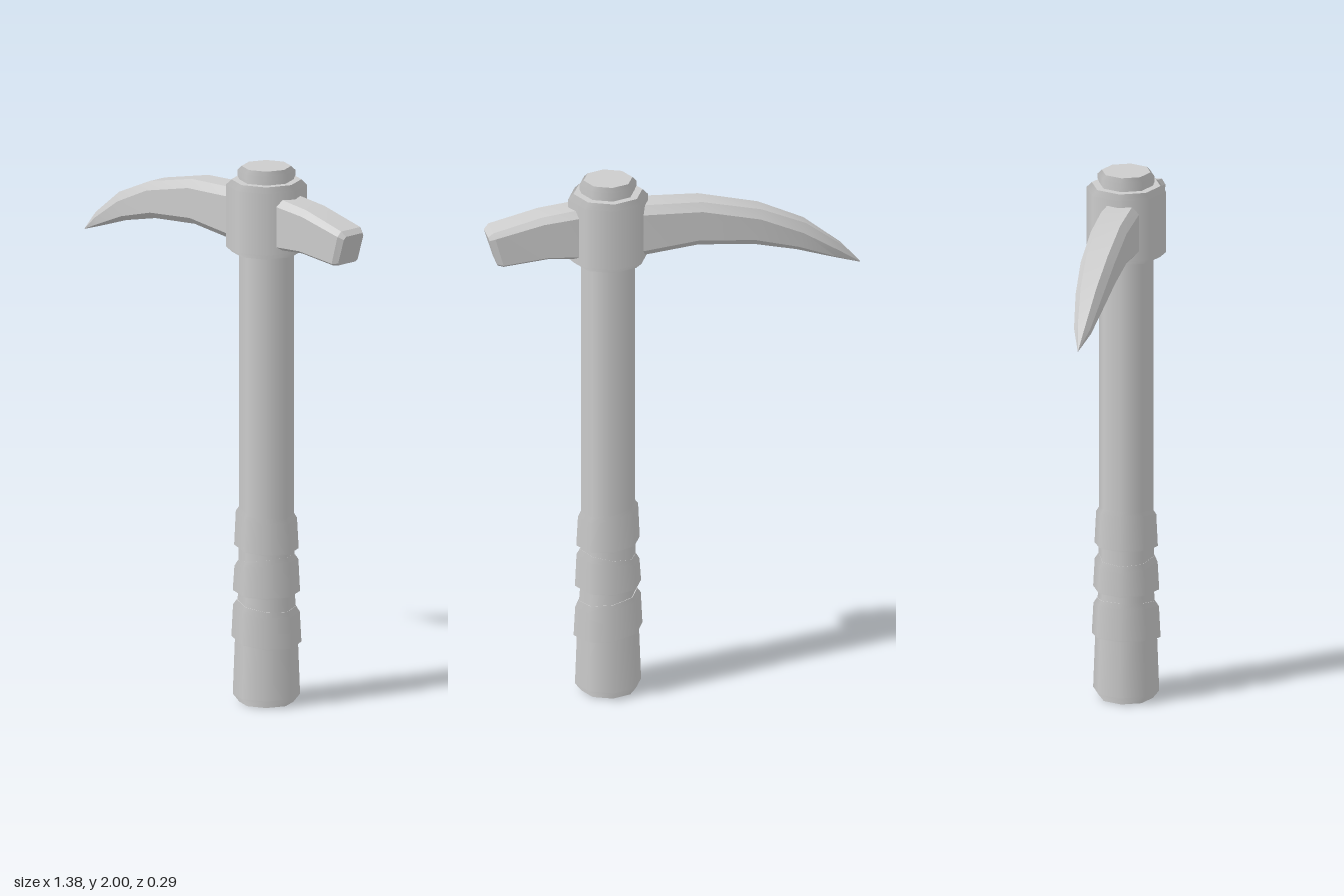
import * as THREE from 'three';
import { mergeGeometries, toCreasedNormals } from 'three/addons/utils/BufferGeometryUtils.js';

const SIDES = 8;
const AXIS = 0.24; // x of the handle's centre line

const grey = new THREE.MeshStandardMaterial({ color: 0xcccccc });
grey.name = 'plain grey';

// Octagonal turned part: smooth around, with a hard edge at every profile point.
// Each profile point is [radius, y, slope]; slope tilts that ring along x.
function turned(name, profile) {
  const bands = [];
  for (let i = 0; i < profile.length - 1; i++) {
    const [r0, y0, k0 = 0] = profile[i];
    const [r1, y1, k1 = 0] = profile[i + 1];
    const g = new THREE.CylinderGeometry(r1, r0, 1, SIDES, 1, true);
    const p = g.attributes.position;
    for (let v = 0; v < p.count; v++) {
      const upper = p.getY(v) > 0;
      p.setY(v, upper ? y1 + k1 * p.getX(v) : y0 + k0 * p.getX(v));
    }
    bands.push(g);
  }
  // End caps
  const [rb, yb, kb = 0] = profile[0];
  const [rt, yt, kt = 0] = profile[profile.length - 1];
  for (const [r, y, k, turn] of [[rb, yb, kb, Math.PI / 2], [rt, yt, kt, -Math.PI / 2]]) {
    const cap = new THREE.CircleGeometry(r, SIDES).rotateX(turn);
    const p = cap.attributes.position;
    for (let v = 0; v < p.count; v++) p.setY(v, y + k * p.getX(v));
    bands.push(cap);
  }
  const mesh = new THREE.Mesh(mergeGeometries(bands), grey);
  mesh.name = name;
  mesh.position.x = AXIS;
  return mesh;
}

// Chamfered bar lofted through sections:
// [top x, top y, bottom x, bottom y, half width, flat half width, top chamfer, bottom chamfer]
function loftedHead(sections) {
  const pos = [];
  const index = [];
  for (const [tx, ty, bx, by, w, f, ct, cb] of sections) {
    const h = Math.hypot(tx - bx, ty - by);
    const ring = [[f, 0], [w, ct / h], [w, 1 - cb / h], [f, 1],
      [-f, 1], [-w, 1 - cb / h], [-w, ct / h], [-f, 0]];
    for (const [z, t] of ring) pos.push(tx + (bx - tx) * t, ty + (by - ty) * t, z);
  }
  const last = sections.length - 1;
  for (let s = 0; s < last; s++) {
    for (let i = 0; i < 8; i++) {
      const a = s * 8 + i;
      const b = s * 8 + (i + 1) % 8;
      index.push(a, b + 8, b, a, a + 8, b + 8);
    }
  }
  for (let i = 1; i < 7; i++) {
    index.push(0, i, i + 1);
    index.push(last * 8, last * 8 + i + 1, last * 8 + i);
  }
  // Orient the faces outward by the sign of the enclosed volume
  const a = new THREE.Vector3(), b = new THREE.Vector3(), c = new THREE.Vector3();
  let volume = 0;
  for (let i = 0; i < index.length; i += 3) {
    a.fromArray(pos, index[i] * 3);
    b.fromArray(pos, index[i + 1] * 3);
    c.fromArray(pos, index[i + 2] * 3);
    volume += a.dot(b.cross(c));
  }
  if (volume < 0) index.reverse();
  const g = new THREE.BufferGeometry();
  g.setAttribute('position', new THREE.Float32BufferAttribute(pos, 3));
  g.setIndex(index);
  const mesh = new THREE.Mesh(toCreasedNormals(g, 0.45), grey);
  mesh.name = 'pickHead';
  return mesh;
}

export function createModel() {
  const model = new THREE.Group();
  model.name = 'pickaxe';

  // Handle with a slightly flared, chamfered butt
  model.add(turned('handle', [[0.1, 0.2], [0.1, 1.7]]));
  model.add(turned('grip', [[0.098, 0], [0.122, 0.03], [0.113, 0.27], [0.102, 0.42], [0.102, 0.62]]));

  // Tilted wrapping bands: bottom y, bottom slope, top y, top slope, radius
  const wraps = [
    [0.235, -0.12, 0.37, -0.16, 0.127],
    [0.415, -0.02, 0.54, 0.15, 0.122],
    [0.58, -0.08, 0.72, -0.17, 0.117],
  ];
  wraps.forEach(([y0, k0, y1, k1, r], i) => {
    model.add(turned('wrap' + (i + 1), [
      [r - 0.022, y0 - 0.012, k0], [r, y0, k0], [r - 0.006, y1 - 0.02, k1], [r - 0.019, y1, k1],
    ]));
  });

  // Collar and the handle end showing above it
  model.add(turned('collar', [[0.125, 1.68], [0.147, 1.7], [0.147, 1.93], [0.127, 1.95]]));
  model.add(turned('handleTop', [[0.094, 1.94], [0.105, 1.965], [0.105, 1.985], [0.09, 2.0]]));

  // Curved spike on one side, short hammer on the other
  model.add(loftedHead([
    [-0.69, 1.607, -0.689, 1.604, 0.001, 0.0005, 0.001, 0.001],
    [-0.62, 1.682, -0.59, 1.636, 0.03, 0.014, 0.02, 0.009],
    [-0.485, 1.783, -0.45, 1.683, 0.05, 0.029, 0.033, 0.018],
    [-0.32, 1.853, -0.29, 1.72, 0.062, 0.039, 0.031, 0.024],
    [-0.1, 1.9, -0.085, 1.735, 0.066, 0.043, 0.03, 0.025],
    [0.12, 1.905, 0.12, 1.71, 0.07, 0.046, 0.03, 0.025],
    [0.36, 1.903, 0.36, 1.714, 0.068, 0.046, 0.025, 0.014],
    [0.49, 1.886, 0.47, 1.721, 0.066, 0.047, 0.023, 0.012],
    [0.672, 1.838, 0.634, 1.704, 0.063, 0.049, 0.02, 0.01],
    [0.69, 1.82, 0.655, 1.708, 0.05, 0.042, 0.012, 0.008],
  ]));

  return model;
}
